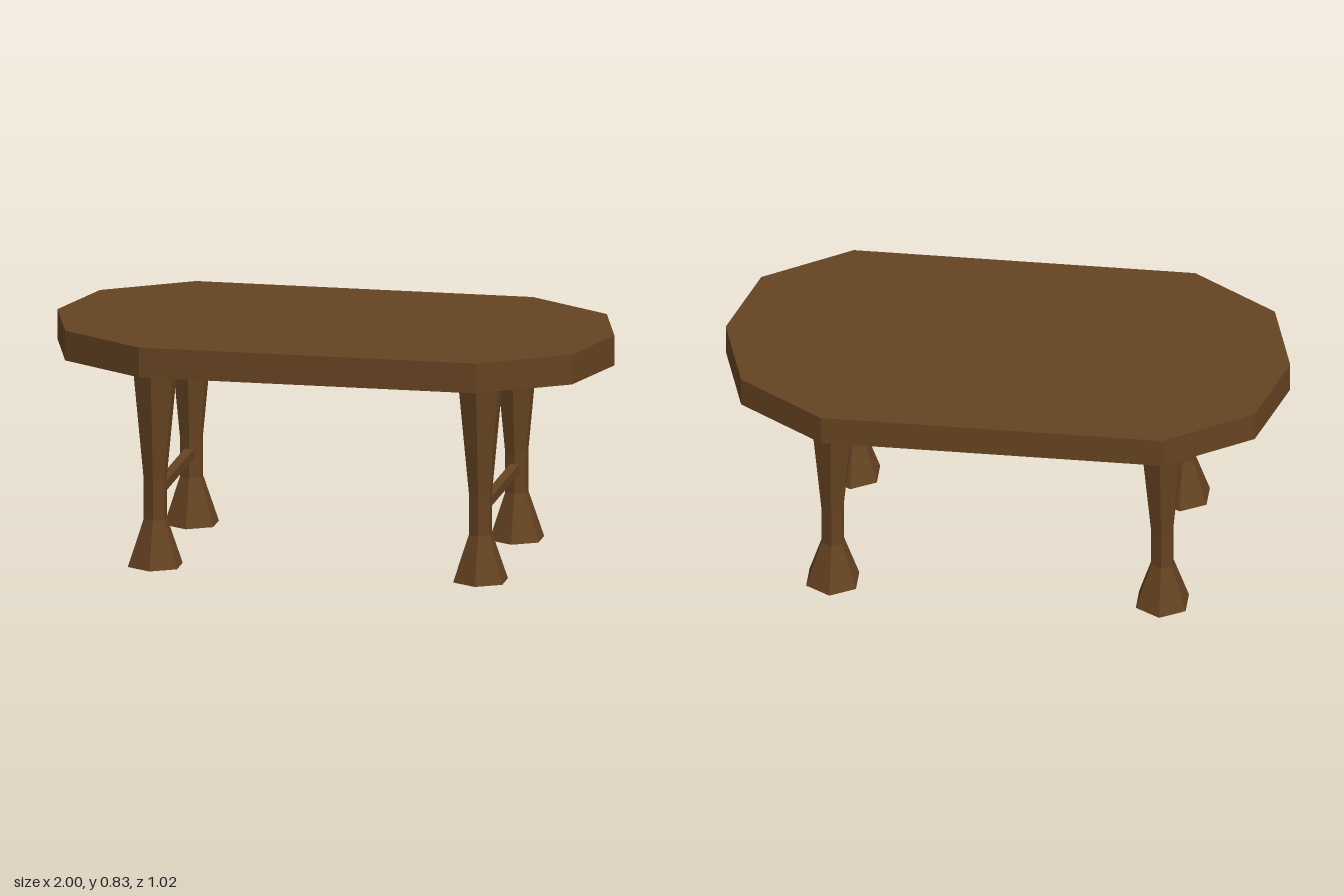
import * as THREE from 'three';

export function createModel() {
  const table = new THREE.Group();
  table.name = 'table';
  const wood = new THREE.MeshStandardMaterial({ color: 0x654321, flatShading: true });

  const add = (name, geometry, x, y, z) => {
    const mesh = new THREE.Mesh(geometry, wood);
    mesh.name = name;
    mesh.position.set(x, y, z);
    table.add(mesh);
  };

  // Ten-sided oblong tabletop
  const outline = [
    [1, 0], [0.91, 0.31], [0.605, 0.508], [-0.605, 0.508], [-0.91, 0.31],
    [-1, 0], [-0.91, -0.31], [-0.605, -0.508], [0.605, -0.508], [0.91, -0.31],
  ].map(([x, y]) => new THREE.Vector2(x, y));
  const topGeometry = new THREE.ExtrudeGeometry(new THREE.Shape(outline), { depth: 0.108, bevelEnabled: false });
  topGeometry.rotateX(-Math.PI / 2);
  add('tabletop', topGeometry, 0, 0.722, 0);

  // Hexagonal leg: flared foot, narrow shank, widening to the top
  const profile = [[0, 0], [0.102, 0], [0.043, 0.17], [0.043, 0.315], [0.083, 0.722], [0, 0.722]]
    .map(([r, y]) => new THREE.Vector2(r, y));
  const legGeometry = new THREE.LatheGeometry(profile, 6);

  // Square stretcher rail joining the front and back legs
  const railGeometry = new THREE.BoxGeometry(0.034, 0.034, 0.58);

  for (const [side, x] of [['left', 0.584], ['right', -0.584]]) {
    add(`${side}FrontLeg`, legGeometry, x, 0, 0.322);
    add(`${side}BackLeg`, legGeometry, x, 0, -0.322);
    add(`${side}Stretcher`, railGeometry, x, 0.26, 0);
  }
  return table;
}
